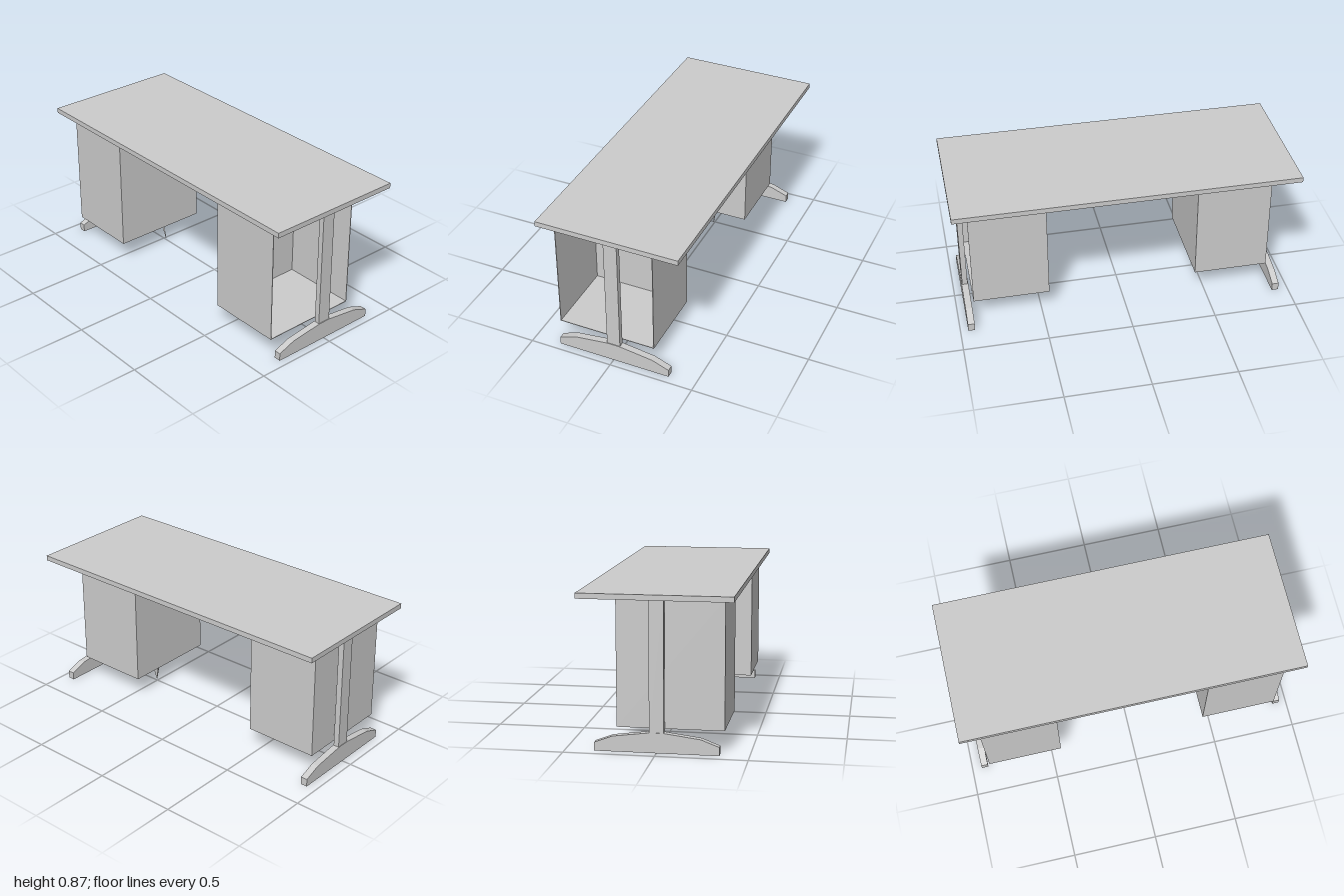
import * as THREE from 'three';

const material = new THREE.MeshStandardMaterial({ color: 0xcccccc, flatShading: true, side: THREE.DoubleSide });

function addMesh(parent, name, geometry) {
  const mesh = new THREE.Mesh(geometry, material);
  mesh.name = name;
  parent.add(mesh);
  return mesh;
}

// Box given by its minimum and maximum corners
function addBox(parent, name, [x0, y0, z0], [x1, y1, z1]) {
  const mesh = addMesh(parent, name, new THREE.BoxGeometry(x1 - x0, y1 - y0, z1 - z0));
  mesh.position.set((x0 + x1) / 2, (y0 + y1) / 2, (z0 + z1) / 2);
}

// Pedestal made of thin panels, open at the top where it meets the desk top
function pedestal(name, x0, x1, openLeft) {
  const group = new THREE.Group();
  group.name = name;
  const t = 0.004, y0 = 0.128, y1 = 0.842, z0 = -0.227, z1 = 0.362;
  addBox(group, 'frontPanel', [x0, y0, z1 - t], [x1, y1, z1]);
  addBox(group, 'backPanel', [x0, y0, z0], [x1, y1, z0 + t]);
  addBox(group, 'bottomPanel', [x0, y0, z0], [x1, y0 + t, z1]);
  addBox(group, 'rightPanel', [x0, y0, z0], [x0 + t, y1, z1]);
  if (!openLeft) addBox(group, 'leftPanel', [x1 - t, y0, z0], [x1, y1, z1]);
  return group;
}

// Upright post on a foot that slopes down toward both ends
function leg(name, x, width) {
  const group = new THREE.Group();
  group.name = name;
  addBox(group, 'post', [-width / 2, 0.1, -0.04], [width / 2, 0.842, 0.04]);
  const half = [[0.34, 0.005], [0.34, 0.052], [0.24, 0.09], [0.04, 0.116]];
  const outline = [...half, ...half.map(([z, y]) => [-z, y]).reverse()];
  const shape = new THREE.Shape(outline.map(([z, y]) => new THREE.Vector2(z, y)));
  const geometry = new THREE.ExtrudeGeometry(shape, { depth: 0.04, bevelEnabled: false });
  geometry.translate(0, 0, -0.02).rotateY(-Math.PI / 2);
  addMesh(group, 'foot', geometry);
  group.position.x = x;
  return group;
}

// Small three-sided pointed stub below a pedestal
function stub(name, x, radius, tilt) {
  const mesh = new THREE.Mesh(new THREE.CylinderGeometry(radius, 0.002, 0.09, 3), material);
  mesh.name = name;
  mesh.position.set(x, 0.06, 0);
  mesh.rotation.z = tilt;
  return mesh;
}

export function createModel() {
  const desk = new THREE.Group();
  desk.name = 'desk';
  addBox(desk, 'deskTop', [-1, 0.842, -0.42], [1, 0.872, 0.42]);
  desk.add(
    pedestal('rightPedestal', -0.888, -0.443, false),
    pedestal('leftPedestal', 0.45, 0.902, true),
    leg('rightLeg', -0.922, 0.034),
    leg('leftLeg', 0.934, 0.032),
    stub('rightStub', -0.493, 0.008, 0.35),
    stub('leftStub', 0.502, 0.025, 0),
  );
  return desk;
}
